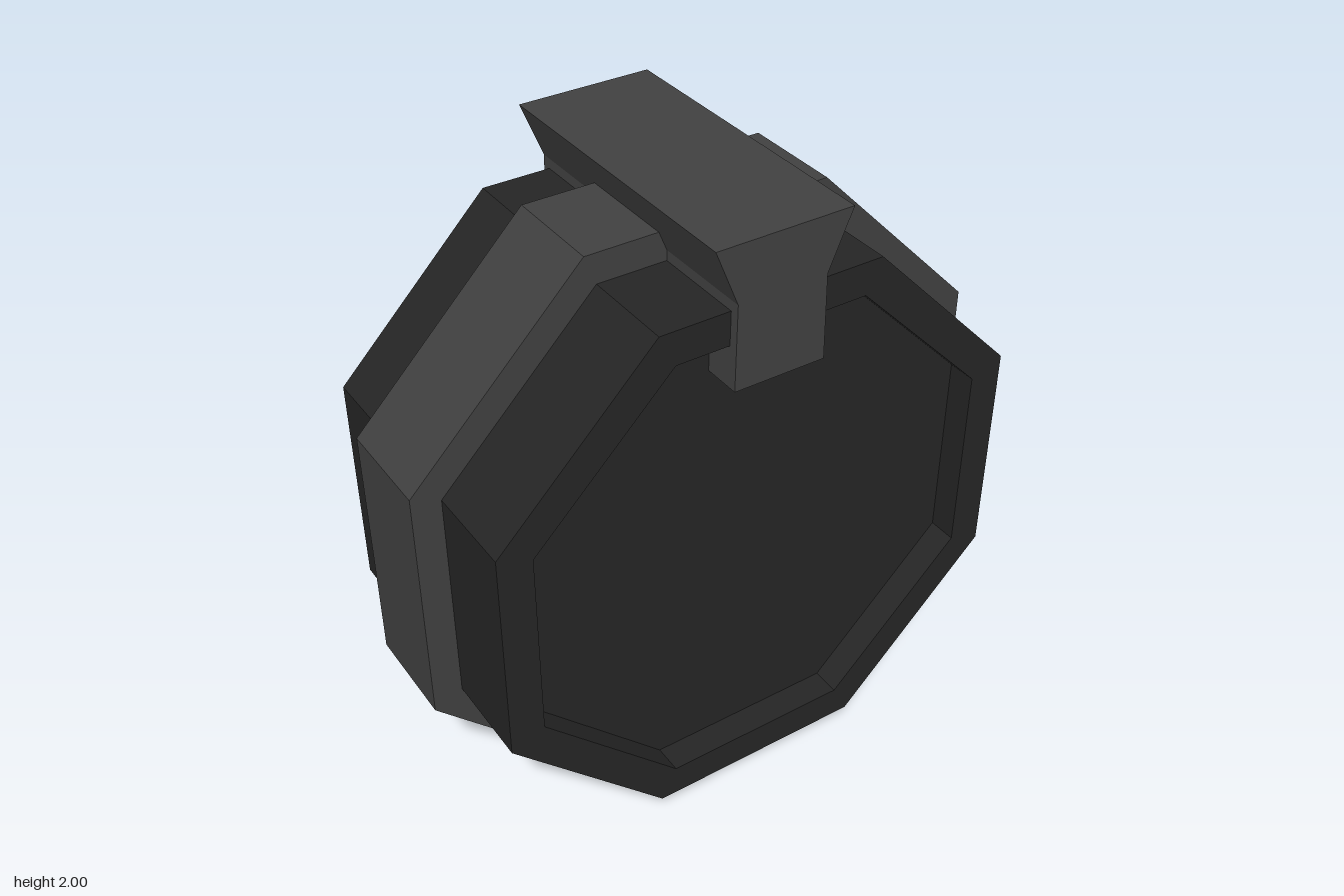
import * as THREE from 'three';

const CENTRE_Y = 0.943;

// Outline of an octagon: outer half width/height plus half lengths of the flat sides
function octagon(w, h, flatX, flatY, PathType = THREE.Shape) {
  const pts = [
    [flatX, -h], [w, -flatY], [w, flatY], [flatX, h],
    [-flatX, h], [-w, flatY], [-w, -flatY], [-flatX, -h],
  ];
  return new PathType(pts.map(([x, y]) => new THREE.Vector2(x, y + CENTRE_Y)));
}

// Extrudes a shape between two z values
function slab(name, shape, z0, z1, material) {
  const geometry = new THREE.ExtrudeGeometry(shape, { depth: z1 - z0, bevelEnabled: false });
  geometry.translate(0, 0, z0);
  const mesh = new THREE.Mesh(geometry, material);
  mesh.name = name;
  return mesh;
}

export function createModel() {
  const group = new THREE.Group();
  group.name = 'octagonalDrum';

  const charcoal = new THREE.MeshStandardMaterial({ color: 0x252525 });
  charcoal.name = 'charcoal';
  const grey = new THREE.MeshStandardMaterial({ color: 0x404040 });
  grey.name = 'grey';

  // Body core, its ends forming the recessed faces
  const HALF = 0.462, FLOOR = 0.37;
  group.add(slab('bodyCore', octagon(0.85, 0.85, 0.355, 0.35), -FLOOR, FLOOR, charcoal));

  // Raised rim around each end
  const rim = octagon(0.85, 0.85, 0.355, 0.35);
  rim.holes.push(octagon(0.743, 0.745, 0.305, 0.307, THREE.Path));
  group.add(slab('frontRim', rim, FLOOR, HALF, charcoal));
  group.add(slab('backRim', rim, -HALF, -FLOOR, charcoal));

  // Wide band around the middle
  group.add(slab('band', octagon(0.94, 0.943, 0.39, 0.388), -0.163, 0.163, grey));

  // Flared clasp running over the top from front to back
  const clasp = new THREE.Shape([
    [-0.141, 1.56], [0.149, 1.56], [0.145, 1.825], [0.22, 2],
    [-0.208, 2], [-0.137, 1.825],
  ].map(([x, y]) => new THREE.Vector2(x, y)));
  group.add(slab('clasp', clasp, -0.491, 0.491, grey));

  return group;
}
